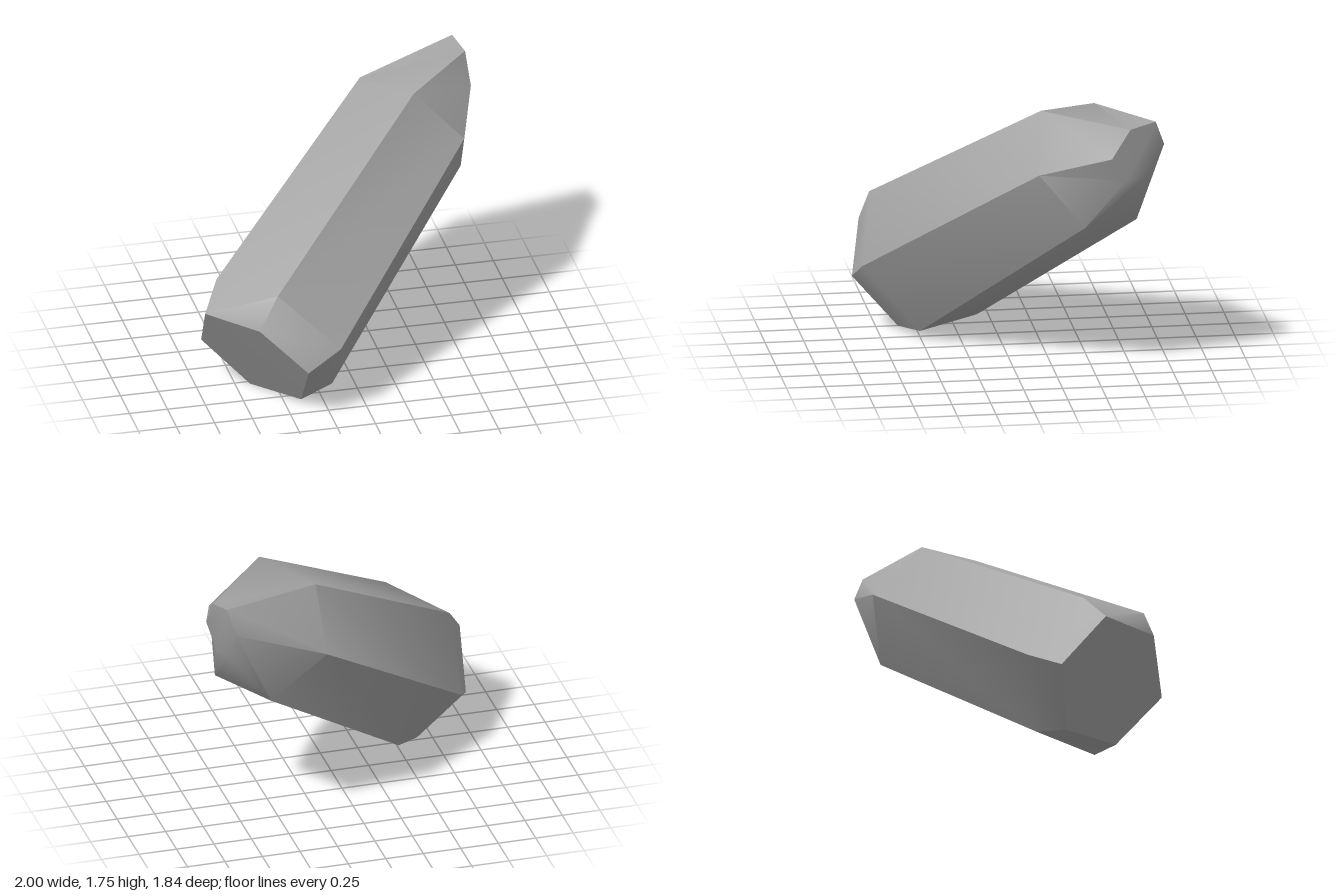
import * as THREE from 'three';
import { toCreasedNormals } from 'three/addons/utils/BufferGeometryUtils.js';

// Six-sided cross-sections along the crystal, from the base to the tip.
const SECTIONS = [
  // base facet
  [[-1, 0.655, 0.49], [-0.72, 0.665, 0.83], [-0.42, 0.37, 0.915], [-0.4, 0.03, 0.62], [-0.655, 0.0, 0.28], [-0.96, 0.32, 0.21]],
  // lower shoulder
  [[-0.895, 0.825, 0.36], [-0.59, 0.88, 0.78], [-0.2, 0.5, 0.88], [-0.17, 0.06, 0.51], [-0.48, 0.06, 0.1], [-0.865, 0.42, 0.0]],
  // upper shoulder
  [[0.265, 1.675, -0.555], [0.53, 1.72, -0.175], [0.85, 1.385, -0.12], [0.895, 1.035, -0.41], [0.63, 1.0, -0.78], [0.28, 1.33, -0.87]],
  // tip facet
  [[0.945, 1.745, -0.86], [0.99, 1.71, -0.69], [1.0, 1.52, -0.57], [0.96, 1.36, -0.67], [0.92, 1.38, -0.81], [0.9, 1.58, -0.92]],
];

function loftSections(sections) {
  const sides = sections[0].length;
  const index = [];
  // side facets between neighbouring sections
  for (let s = 0; s < sections.length - 1; s++) {
    for (let i = 0; i < sides; i++) {
      const a = s * sides + i;
      const b = s * sides + (i + 1) % sides;
      index.push(a, b, b + sides, a, b + sides, a + sides);
    }
  }
  // flat end facets
  const last = (sections.length - 1) * sides;
  for (let i = 1; i < sides - 1; i++) {
    index.push(0, i + 1, i);
    index.push(last, last + i, last + i + 1);
  }
  const geometry = new THREE.BufferGeometry();
  geometry.setAttribute('position', new THREE.Float32BufferAttribute(sections.flat(2), 3));
  geometry.setIndex(index);
  // soft shoulders, sharp long edges
  return toCreasedNormals(geometry, THREE.MathUtils.degToRad(50));
}

export function createModel() {
  const group = new THREE.Group();
  group.name = 'crystal';
  const stone = new THREE.MeshStandardMaterial({ color: 0xa5a5a5 });
  stone.name = 'grey stone';
  const shard = new THREE.Mesh(loftSections(SECTIONS), stone);
  shard.name = 'crystalShard';
  group.add(shard);
  return group;
}
